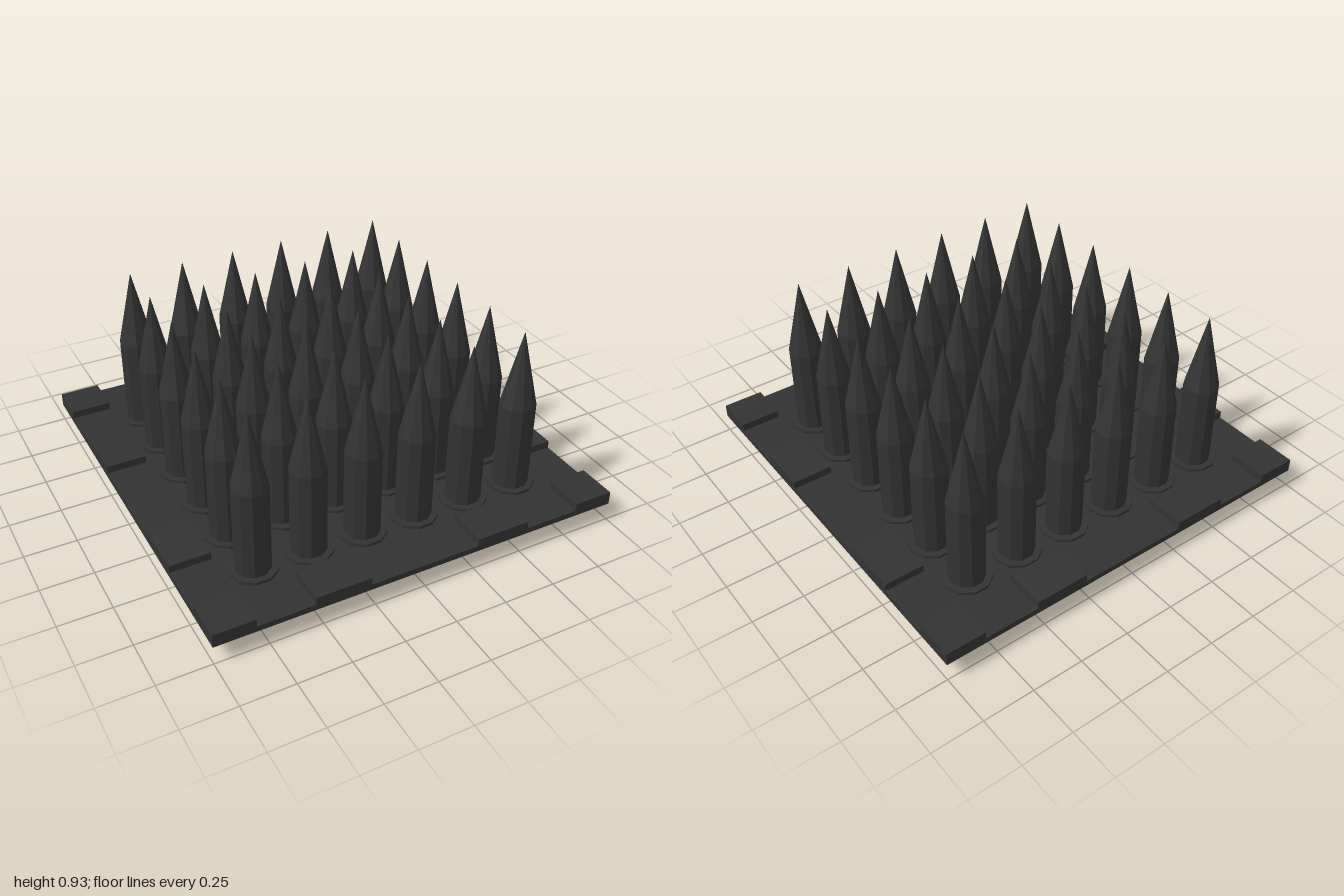
import * as THREE from 'three';

export function createModel() {
  const model = new THREE.Group();
  model.name = 'spikePanel';
  const darkIron = new THREE.MeshStandardMaterial({ color: 0x333333, flatShading: true });
  darkIron.name = 'darkIron';

  const add = (name, geometry, x, y, z, parent = model) => {
    const mesh = new THREE.Mesh(geometry, darkIron);
    mesh.name = name;
    mesh.position.set(x, y, z);
    parent.add(mesh);
    return mesh;
  };

  // Base plate
  add('basePlate', new THREE.BoxGeometry(2, 0.028, 2), 0, 0.104, 0);

  // Raised blocks at the corners and along each edge
  const bottom = 0.09, top = 0.155;
  const block = (name, x0, x1, z0, z1) =>
    add(name, new THREE.BoxGeometry(x1 - x0, top - bottom, z1 - z0),
      (x0 + x1) / 2, (top + bottom) / 2, (z0 + z1) / 2);
  for (const s of [-1, 1]) {
    const [e0, e1] = s < 0 ? [-1, -0.805] : [0.805, 1];
    for (const t of [-1, 1]) {
      const [c0, c1] = t < 0 ? [-1, -0.805] : [0.805, 1];
      const [m0, m1] = t < 0 ? [-0.535, -0.27] : [0.27, 0.535];
      block('cornerBlock', e0, e1, c0, c1);
      block('sideBlock', e0, e1, m0, m1);
      block('endBlock', m0, m1, e0, e1);
    }
  }

  // Ten-sided spike: shaft through the plate, then a tapered point
  const sides = 10, radius = 0.084;
  const spikeGeometry = new THREE.LatheGeometry([
    new THREE.Vector2(0, 0),
    new THREE.Vector2(radius, 0),
    new THREE.Vector2(radius, 0.56),
    new THREE.Vector2(0, 0.93),
  ], sides).rotateY(Math.PI / 2);
  const collarGeometry = new THREE.CylinderGeometry(0.115, 0.115, 0.03, sides).rotateY(Math.PI / 2);

  // Six by six grid of spikes, each with a low collar
  const pitch = 0.268;
  for (let i = 0; i < 6; i++) {
    for (let j = 0; j < 6; j++) {
      const spike = new THREE.Group();
      spike.name = 'spike';
      spike.position.set((i - 2.5) * pitch, 0, (j - 2.5) * pitch);
      add('spikeShaft', spikeGeometry, 0, 0, 0, spike);
      add('spikeCollar', collarGeometry, 0, 0.117, 0, spike);
      model.add(spike);
    }
  }
  return model;
}
